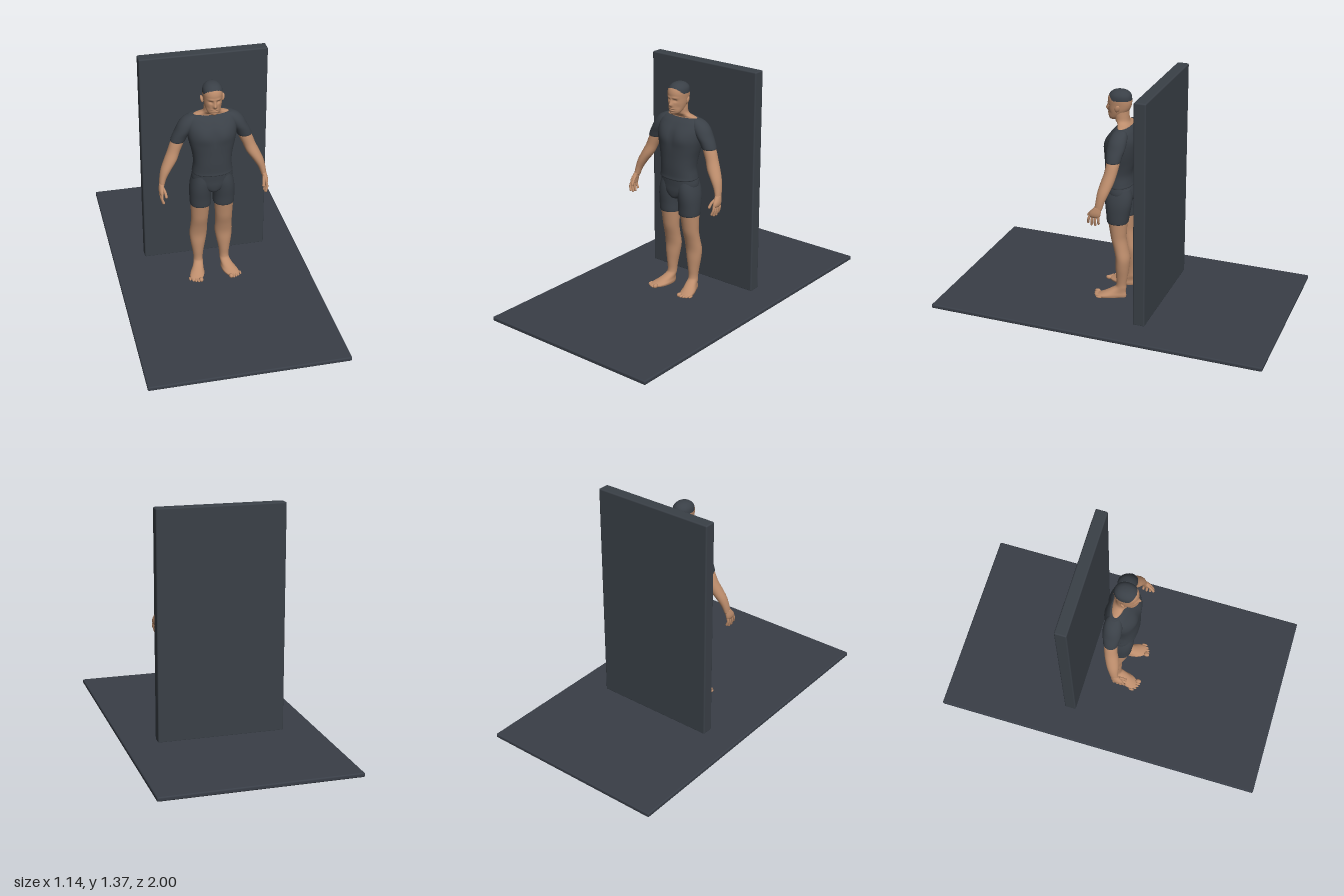
import * as THREE from 'three';
import { RoundedBoxGeometry } from 'three/addons/geometries/RoundedBoxGeometry.js';

const mat = (name, color) => Object.assign(new THREE.MeshStandardMaterial({ color }), { name });

// Smooth interpolation through the values of neighbouring rings
function spline(p0, p1, p2, p3, t) {
  const a = (p2 - p0) / 2, b = (p3 - p1) / 2, t2 = t * t, t3 = t2 * t;
  return (2 * p1 - 2 * p2 + a + b) * t3 + (-3 * p1 + 3 * p2 - 2 * a - b) * t2 + a * t + p1;
}

// Closed body through horizontal rings [x, y, z, halfWidth, halfDepth], bottom to top
function loft(rings, { side = 1, seg = 32, steps = 5, power = 2, shape = null } = {}) {
  const pos = [], idx = [], n = rings.length;
  const rows = (n - 1) * steps + 1;
  const point = (v) => { if (shape) shape(v); pos.push(v.x, v.y, v.z); };
  const round = (c) => Math.sign(c) * Math.abs(c) ** (2 / power);
  for (let r = 0; r < rows; r++) {
    const i = Math.min(Math.floor(r / steps), n - 2), t = r / steps - i;
    const at = (k) => rings[Math.max(0, Math.min(n - 1, k))];
    const [x, y, z, rx, rz] = rings[i].map((_, c) => spline(at(i - 1)[c], at(i)[c], at(i + 1)[c], at(i + 2)[c], t));
    for (let j = 0; j < seg; j++) {
      const a = (j / seg) * Math.PI * 2;
      point(new THREE.Vector3(side * x + rx * round(Math.cos(a)), y, z + rz * round(Math.sin(a))));
    }
  }
  for (let r = 0; r < rows - 1; r++) {
    for (let j = 0; j < seg; j++) {
      const k = (j + 1) % seg, a = r * seg + j, b = r * seg + k, c = b + seg, d = a + seg;
      idx.push(a, d, c, a, c, b);
    }
  }
  // end caps
  for (const [ring, row, up] of [[rings[0], 0, false], [rings[n - 1], rows - 1, true]]) {
    const centre = pos.length / 3;
    point(new THREE.Vector3(side * ring[0], ring[1], ring[2]));
    for (let j = 0; j < seg; j++) {
      const a = row * seg + j, b = row * seg + (j + 1) % seg;
      idx.push(centre, up ? b : a, up ? a : b);
    }
  }
  const geo = new THREE.BufferGeometry();
  geo.setAttribute('position', new THREE.Float32BufferAttribute(pos, 3));
  geo.setIndex(idx);
  geo.computeVertexNormals();
  return geo;
}

// Soft bump centred on (x, y)
const bump = (v, x, y, sx, sy) => Math.exp(-(((v.x - x) / sx) ** 2) - ((v.y - y) / sy) ** 2);

function faceShape(v) {
  if (v.z < 0.04) return;
  const ax = { x: Math.abs(v.x), y: v.y };
  v.z += 0.018 * bump(ax, 0, 1.176, 0.009, 0.012) + 0.009 * bump(ax, 0, 1.195, 0.007, 0.014)
    + 0.004 * bump(ax, 0.02, 1.216, 0.018, 0.006) - 0.009 * bump(ax, 0.021, 1.2, 0.011, 0.008)
    + 0.005 * bump(ax, 0, 1.152, 0.016, 0.004) + 0.005 * bump(ax, 0, 1.141, 0.014, 0.004)
    - 0.004 * bump(ax, 0, 1.1465, 0.018, 0.0025) + 0.005 * bump(ax, 0, 1.124, 0.014, 0.008)
    - 0.004 * bump(ax, 0.036, 1.16, 0.01, 0.014);
}

function chestShape(v) {
  const ax = { x: Math.abs(v.x), y: v.y };
  if (v.z > 0.02) v.z += 0.007 * bump(ax, 0.06, 0.985, 0.045, 0.045) - 0.005 * bump(ax, 0, 0.99, 0.015, 0.06);
  else if (v.z < -0.02) v.z += 0.008 * bump(ax, 0, 0.93, 0.02, 0.16) - 0.004 * bump(ax, 0.07, 1.0, 0.04, 0.05);
}

// Put triangles above the hairline into their own material group
function splitHair(geo) {
  const p = geo.attributes.position, index = geo.index.array, skin = [], hair = [];
  for (let i = 0; i < index.length; i += 3) {
    const t = [index[i], index[i + 1], index[i + 2]];
    const y = t.reduce((s, k) => s + p.getY(k) / 3, 0), z = t.reduce((s, k) => s + p.getZ(k) / 3, 0);
    (y > 1.237 + Math.max(0, z - 0.05) * 0.95 ? hair : skin).push(...t);
  }
  geo.setIndex([...skin, ...hair]);
  geo.addGroup(0, skin.length, 0);
  geo.addGroup(skin.length, hair.length, 1);
  return geo;
}

export function createModel() {
  const root = new THREE.Group();
  const skin = mat('skin', 0xbd8d6c);
  const cloth = mat('darkSlate', 0x3a4047);
  const floorMat = mat('floorSlate', 0x393e47);

  const add = (name, geo, material, parent = root) => {
    const m = new THREE.Mesh(geo, material);
    m.name = name;
    parent.add(m);
    return m;
  };
  const ball = (name, parent, x, y, z, sx, sy, sz) => {
    const m = add(name, new THREE.SphereGeometry(1, 16, 12), skin, parent);
    m.position.set(x, y, z);
    m.scale.set(sx, sy, sz);
    return m;
  };

  // Floor slab and back wall
  add('floor', new RoundedBoxGeometry(1.14, 0.025, 2, 3, 0.008), floorMat).position.y = 0.0125;
  add('backWall', new RoundedBoxGeometry(0.75, 1.345, 0.07, 3, 0.008), cloth).position.set(0, 0.6925, -0.225);

  const figure = new THREE.Group();
  figure.name = 'figure';
  root.add(figure);

  // Head with cropped hair
  const head = loft([
    [0, 1.116, 0.062, 0.016, 0.018], [0, 1.128, 0.055, 0.034, 0.032], [0, 1.15, 0.042, 0.044, 0.05],
    [0, 1.18, 0.03, 0.051, 0.062], [0, 1.21, 0.025, 0.054, 0.068], [0, 1.24, 0.025, 0.056, 0.069],
    [0, 1.265, 0.023, 0.052, 0.063], [0, 1.283, 0.022, 0.038, 0.047], [0, 1.292, 0.021, 0.021, 0.026],
    [0, 1.295, 0.021, 0.003, 0.003],
  ], { seg: 72, steps: 9, power: 2.15, shape: faceShape });
  add('head', splitHair(head), [skin, cloth], figure);

  // Neck and its slope into the shoulders
  add('neck', loft([
    [0, 1.075, -0.012, 0.118, 0.042], [0, 1.093, -0.009, 0.098, 0.035], [0, 1.105, 0, 0.064, 0.036],
    [0, 1.12, 0.01, 0.049, 0.041], [0, 1.15, 0.014, 0.046, 0.043], [0, 1.18, 0.014, 0.044, 0.042],
  ]), skin, figure);

  // Shirt body with a rolled hem
  add('shirt', loft([
    [0, 0.726, 0.02, 0.112, 0.077], [0, 0.732, 0.02, 0.118, 0.083], [0, 0.75, 0.021, 0.116, 0.081],
    [0, 0.8, 0.024, 0.111, 0.08], [0, 0.86, 0.018, 0.118, 0.086], [0, 0.92, 0.012, 0.132, 0.092],
    [0, 0.97, 0.008, 0.142, 0.093], [0, 1.02, 0, 0.145, 0.085], [0, 1.06, -0.008, 0.14, 0.065],
    [0, 1.08, -0.012, 0.128, 0.049], [0, 1.09, -0.014, 0.113, 0.038],
  ], { seg: 56, power: 2.3, shape: chestShape }), cloth, figure);

  // Shorts, upper part
  add('shortsHips', loft([
    [0, 0.6, 0.025, 0.02, 0.035], [0, 0.615, 0.022, 0.045, 0.062], [0, 0.65, 0.012, 0.1, 0.08],
    [0, 0.69, 0.012, 0.12, 0.081], [0, 0.735, 0.018, 0.114, 0.078],
  ], { seg: 48, power: 2.2 }), cloth, figure);

  for (const side of [1, -1]) {
    const tag = side > 0 ? 'left' : 'right';
    const limb = (name, rings, material, extra = {}) =>
      add(tag + name, loft(rings, { side, ...extra }), material, figure);

    ball(tag + 'Ear', figure, side * 0.06, 1.196, 0.02, 0.008, 0.022, 0.014).rotation.set(-0.2, side * 0.45, -side * 0.2);

    limb('ShortsLeg', [
      [0.069, 0.506, 0.014, 0.057, 0.057], [0.069, 0.512, 0.014, 0.062, 0.063], [0.07, 0.56, 0.012, 0.063, 0.069],
      [0.068, 0.62, 0.01, 0.064, 0.078], [0.062, 0.67, 0.01, 0.062, 0.079], [0.055, 0.72, 0.012, 0.055, 0.07],
    ], cloth, { power: 2.15 });

    // Leg and foot, the foot turned out and narrowed at the heel
    limb('Leg', [
      [0.085, 0.025, 0.045, 0.038, 0.088], [0.085, 0.04, 0.043, 0.041, 0.087], [0.084, 0.06, 0.022, 0.035, 0.062],
      [0.081, 0.085, -0.006, 0.03, 0.036], [0.08, 0.11, -0.012, 0.028, 0.03], [0.08, 0.16, -0.015, 0.034, 0.035],
      [0.079, 0.22, -0.018, 0.045, 0.04], [0.077, 0.28, -0.02, 0.052, 0.042], [0.075, 0.34, -0.008, 0.05, 0.042],
      [0.073, 0.4, 0.006, 0.05, 0.045], [0.072, 0.45, 0.01, 0.053, 0.05], [0.071, 0.54, 0.014, 0.058, 0.06],
    ], skin, {
      shape: (v) => {
        const foot = THREE.MathUtils.clamp((0.1 - v.y) / 0.05, 0, 1), centre = side * 0.085;
        v.x = centre + (v.x - centre) * (1 + foot * THREE.MathUtils.clamp((v.z - 0.04) * 4, -0.3, 0.3));
        v.x += side * foot * Math.max(0, v.z) * 0.25;
        if (v.z > 0.03) v.y -= foot * Math.max(0, v.y - 0.03) * (v.z - 0.03) * 4;
      },
    });
    for (let i = 0; i < 5; i++) {
      const r = i ? 0.0085 - i * 0.0005 : 0.013;
      ball(tag + 'Toe', figure, side * (0.092 + i * 0.0155), 0.025 + r, 0.134 - i * i * 0.0018, r, r, 0.018);
    }

    limb('Sleeve', [
      [0.194, 0.93, -0.006, 0.039, 0.039], [0.194, 0.936, -0.007, 0.043, 0.043], [0.181, 0.965, -0.008, 0.045, 0.047],
      [0.16, 1.0, -0.01, 0.048, 0.053], [0.135, 1.04, -0.012, 0.053, 0.052], [0.115, 1.07, -0.014, 0.045, 0.042],
      [0.1, 1.088, -0.014, 0.022, 0.025],
    ], cloth);

    limb('Arm', [
      [0.302, 0.675, 0.045, 0.015, 0.022], [0.292, 0.72, 0.036, 0.021, 0.026], [0.271, 0.77, 0.025, 0.031, 0.034],
      [0.243, 0.82, 0.012, 0.038, 0.038], [0.221, 0.87, 0, 0.037, 0.037], [0.2, 0.92, -0.006, 0.039, 0.038],
      [0.182, 0.96, -0.008, 0.036, 0.036],
    ], skin);

    // Hand: palm, four fingers and a thumb
    const hand = new THREE.Group();
    hand.name = tag + 'Hand';
    figure.add(hand);
    add('palm', loft([
      [0.306, 0.628, 0.066, 0.009, 0.028], [0.308, 0.64, 0.064, 0.013, 0.034], [0.307, 0.66, 0.058, 0.015, 0.032],
      [0.301, 0.69, 0.044, 0.015, 0.022],
    ], { side, seg: 24 }), skin, hand);
    const digit = (name, pts, r) => {
      const curve = new THREE.CatmullRomCurve3(pts.map(([x, y, z]) => new THREE.Vector3(side * x, y, z)));
      add(name, new THREE.TubeGeometry(curve, 10, r, 10), skin, hand);
      const tip = curve.getPoint(1);
      ball(name + 'Tip', hand, tip.x, tip.y, tip.z, r, r, r);
    };
    for (let i = 0; i < 4; i++) {
      const z = 0.039 + i * 0.017, drop = [0.045, 0.056, 0.055, 0.044][i];
      digit('finger', [[0.307, 0.642, z], [0.31, 0.636 - drop * 0.45, z + 0.003 + i * 0.002],
        [0.302, 0.636 - drop, z + 0.003 + i * 0.004]], 0.0072);
    }
    digit('thumb', [[0.3, 0.675, 0.06], [0.291, 0.655, 0.09], [0.287, 0.632, 0.108]], 0.008);
  }
  return root;
}
